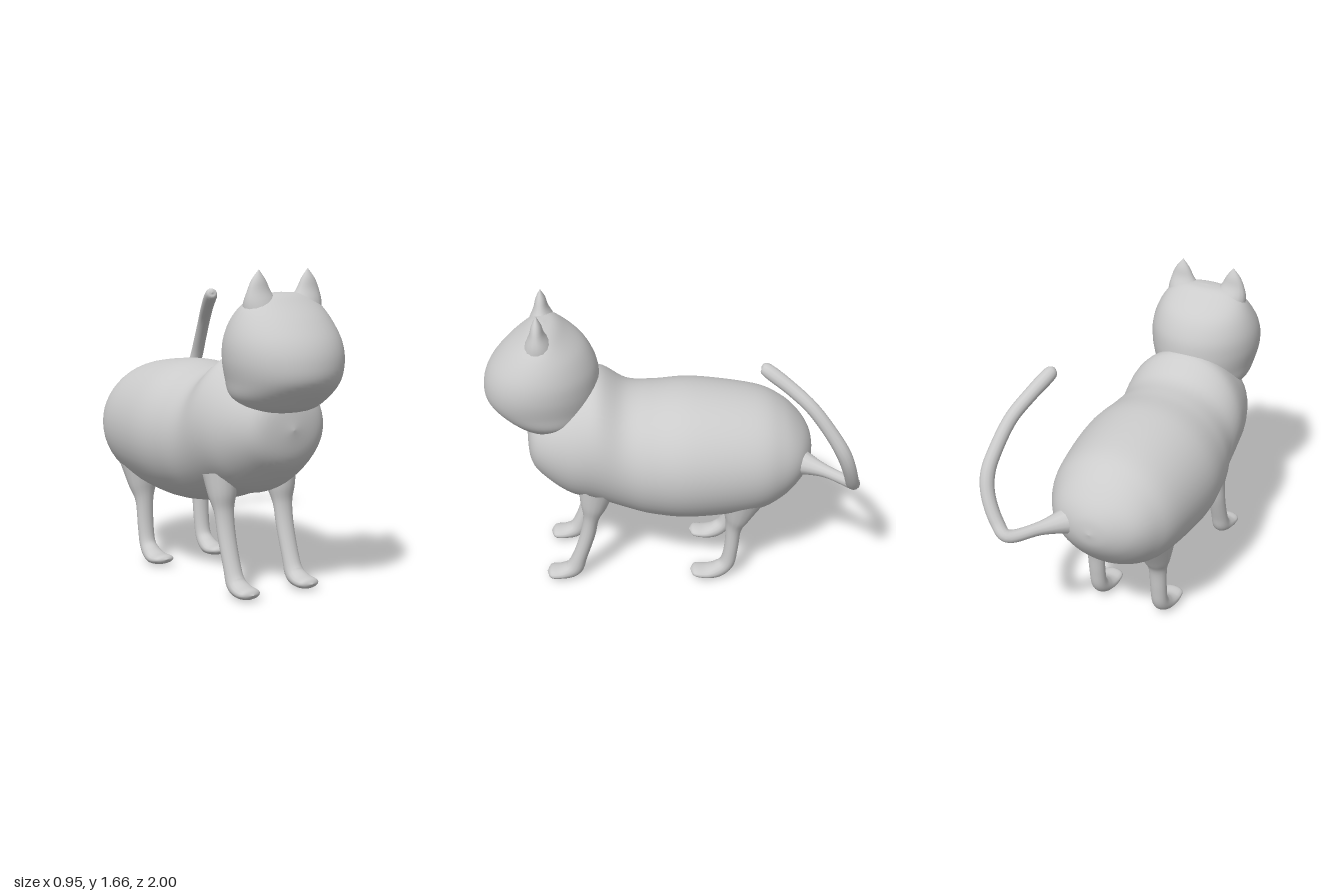
import * as THREE from 'three';

const MID = -0.0725; // symmetry plane of the animal (the tail swings to its left)
const X = new THREE.Vector3(1, 0, 0);
const Y = new THREE.Vector3(0, 1, 0);
const Z = new THREE.Vector3(0, 0, 1);
const material = new THREE.MeshStandardMaterial({ color: 0xcccccc });

// Smooth skin over elliptical rings. Each row: [x, y, z, radius across, radius along].
// With an axis every ring faces it, otherwise rings follow the path.
function loft(name, rows, { axis = null, ref = X, steps = 40, sides = 32 } = {}) {
  const path = new THREE.CatmullRomCurve3(
    rows.map(r => new THREE.Vector3(r[0], r[1], r[2])), false, 'catmullrom', 0.5);
  const size = new THREE.CatmullRomCurve3(
    rows.map(r => new THREE.Vector3(r[3], r[4], 0)), false, 'catmullrom', 0.5);
  const pos = [], index = [];
  for (let i = 0; i <= steps; i++) {
    const t = i / steps;
    const c = path.getPoint(t), s = size.getPoint(t);
    const dir = axis || path.getTangent(t);
    const u = ref.clone().addScaledVector(dir, -ref.dot(dir)).normalize();
    const v = new THREE.Vector3().crossVectors(dir, u);
    for (let j = 0; j < sides; j++) {
      const a = (j / sides) * Math.PI * 2;
      const p = c.clone()
        .addScaledVector(u, Math.cos(a) * Math.max(s.x, 0))
        .addScaledVector(v, Math.sin(a) * Math.max(s.y, 0));
      pos.push(p.x, p.y, p.z);
      if (i < steps) {
        const k = (j + 1) % sides, q = i * sides, n = q + sides;
        index.push(q + j, q + k, n + j, q + k, n + k, n + j);
      }
    }
  }
  const geo = new THREE.BufferGeometry();
  geo.setAttribute('position', new THREE.Float32BufferAttribute(pos, 3));
  geo.setIndex(index);
  geo.computeVertexNormals();
  const mesh = new THREE.Mesh(geo, material);
  mesh.name = name;
  return mesh;
}

export function createModel() {
  const model = new THREE.Group();
  model.name = 'cat';

  // Barrel body, from rump to chest: [z, centre y, half width, half height]
  const body = [
    [-0.775, 0.77, 0, 0], [-0.757, 0.775, 0.11, 0.09], [-0.7, 0.775, 0.225, 0.18],
    [-0.6, 0.768, 0.305, 0.278], [-0.45, 0.765, 0.365, 0.345], [-0.12, 0.768, 0.405, 0.383],
    [0.1, 0.77, 0.385, 0.37], [0.25, 0.795, 0.355, 0.36], [0.4, 0.865, 0.35, 0.38],
    [0.55, 0.86, 0.32, 0.335], [0.68, 0.87, 0.265, 0.25], [0.76, 0.87, 0.18, 0.155],
    [0.79, 0.87, 0, 0],
  ];
  model.add(loft('body', body.map(([z, y, w, h]) => [MID, y, z, w, h]),
    { axis: Z, steps: 72, sides: 48 }));

  // Head with a blunt muzzle, from jaw to crown: [y, back z, front z, half width]
  const head = [
    [0.95, 0.66, 0.66, 0], [0.965, 0.5, 0.81, 0.17], [1.03, 0.42, 0.905, 0.255],
    [1.12, 0.39, 0.99, 0.285], [1.22, 0.385, 1.0, 0.305], [1.32, 0.4, 0.965, 0.3],
    [1.42, 0.455, 0.885, 0.265], [1.5, 0.55, 0.79, 0.21], [1.54, 0.61, 0.73, 0.13],
    [1.55, 0.67, 0.67, 0],
  ];
  model.add(loft('head', head.map(([y, b, f, w]) => [MID, y, (b + f) / 2, w, (f - b) / 2]),
    { axis: Y, steps: 54, sides: 48 }));

  for (const [side, s] of [['left', 1], ['right', -1]]) {
    // Pointed ears: [offset from the middle, y, z, half width, half depth]
    const ear = [
      [0.12, 1.38, 0.68, 0.1, 0.11], [0.135, 1.49, 0.685, 0.095, 0.075],
      [0.15, 1.56, 0.69, 0.065, 0.04], [0.152, 1.615, 0.69, 0.038, 0.025],
      [0.15, 1.665, 0.69, 0, 0],
    ];
    model.add(loft(`${side}Ear`, ear.map(([d, ...r]) => [MID + s * d, ...r]),
      { axis: Y, steps: 16, sides: 16 }));

    // Legs, from hip to toe: [y, z, half width, half thickness]
    const legs = {
      FrontLeg: [
        [0.62, 0.41, 0.09, 0.1], [0.51, 0.43, 0.075, 0.075], [0.42, 0.447, 0.055, 0.045],
        [0.3, 0.47, 0.05, 0.042], [0.15, 0.518, 0.048, 0.042], [0.065, 0.555, 0.052, 0.05],
        [0.038, 0.62, 0.062, 0.036], [0.036, 0.685, 0.058, 0.026], [0.036, 0.71, 0, 0],
      ],
      HindLeg: [
        [0.56, -0.39, 0.11, 0.13], [0.43, -0.365, 0.08, 0.075], [0.34, -0.347, 0.052, 0.045],
        [0.2, -0.335, 0.046, 0.04], [0.1, -0.315, 0.046, 0.043], [0.05, -0.265, 0.054, 0.045],
        [0.035, -0.2, 0.062, 0.032], [0.043, -0.13, 0.055, 0.022], [0.047, -0.105, 0, 0],
      ],
    };
    for (const [part, rows] of Object.entries(legs)) {
      model.add(loft(side + part, rows.map(r => [MID + s * 0.1875, ...r]),
        { steps: 48, sides: 16 }));
    }
  }

  // Tail: out from the rump, then curling up and forward
  const tail = [
    [0.04, 0.77, -0.64, 0.1], [0.1, 0.77, -0.72, 0.065], [0.18, 0.77, -0.83, 0.035],
    [0.285, 0.77, -0.955, 0.034], [0.355, 0.83, -0.945, 0.036], [0.415, 0.95, -0.915, 0.037],
    [0.435, 1.06, -0.875, 0.038], [0.42, 1.17, -0.81, 0.036], [0.385, 1.3, -0.71, 0.035],
    [0.335, 1.39, -0.6, 0.036], [0.28, 1.47, -0.475, 0.035], [0.27, 1.482, -0.45, 0],
  ];
  model.add(loft('tail', tail.map(([x, y, z, r]) => [x, y, z, r, r]),
    { ref: new THREE.Vector3(1, -1, 1).normalize(), steps: 60, sides: 12 }));

  return model;
}
